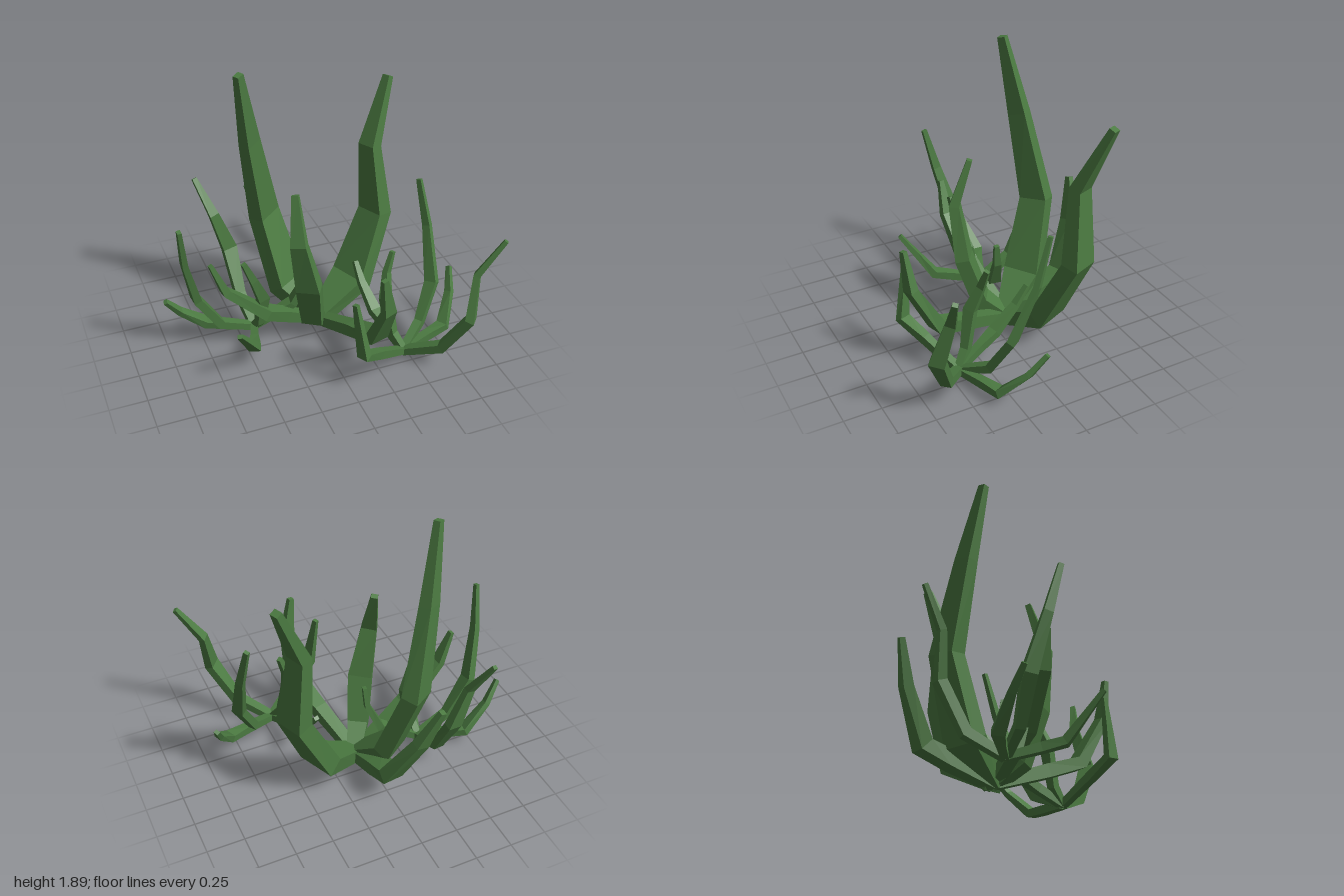
import * as THREE from 'three';

const material = new THREE.MeshStandardMaterial({ color: 0x4b7a41, flatShading: true });

// Blade width and thickness from root to tip, before scaling; only large blades swell low down
const widths = (size) => [0.12, Math.max(0.14, 0.27 * size * size), 0.2, 0.13, 0.055];
const THICK = [0.1, 0.13, 0.12, 0.085, 0.045];

const vec = (p) => new THREE.Vector3(...p);

// Centre line: shallow blades run straight to the knee, steep ones sag first;
// then the blade rises to the tip, bowed outward or inward
function centreLine(root, knee, tip, bow) {
  const out = knee.clone().sub(root).setY(0);
  const steep = knee.y - root.y > 0.6 * out.length();
  out.normalize();
  const low = root.clone().lerp(knee, 0.6);
  if (steep) low.y = THREE.MathUtils.lerp(root.y, knee.y, 0.28);
  const bend = knee.clone().lerp(tip, 0.54).addScaledVector(out, bow);
  return { out, line: [root, low, knee, bend, tip] };
}

// Tapered four-sided blade swept along its centre line
function makeBlade(root, [size, bow, knee, tip]) {
  const { out, line } = centreLine(vec(root), vec(knee), vec(tip), bow);
  const side = new THREE.Vector3(-out.z, 0, out.x);
  const last = line.length - 1;
  const width = widths(size);
  const rings = line.map((p, i) => {
    const before = p.clone().sub(line[Math.max(i - 1, 0)]).normalize();
    const after = line[Math.min(i + 1, last)].clone().sub(p).normalize();
    const tangent = before.add(after).normalize();
    const s = side.clone().addScaledVector(tangent, -side.dot(tangent)).normalize();
    const n = tangent.clone().cross(s);
    const scale = i === last ? Math.max(size, 0.6) : size;
    const w = (width[i] * scale) / 2;
    const d = (THICK[i] * Math.max(scale, 0.45)) / 2;
    return [[-1, -1], [1, -1], [1, 1], [-1, 1]].map(([a, b]) =>
      p.clone().addScaledVector(s, a * w).addScaledVector(n, b * d));
  });
  const corners = [];
  const quad = (a, b, c, d) =>
    [a, b, c, a, c, d].forEach((v) => corners.push(v.x, Math.max(v.y, 0), v.z));
  for (let i = 0; i < last; i++) {
    for (let j = 0; j < 4; j++) {
      const k = (j + 1) % 4;
      quad(rings[i][j], rings[i][k], rings[i + 1][k], rings[i + 1][j]);
    }
  }
  quad(...[...rings[0]].reverse());
  quad(...rings[last]);
  const geometry = new THREE.BufferGeometry();
  geometry.setAttribute('position', new THREE.Float32BufferAttribute(corners, 3));
  geometry.computeVertexNormals();
  return new THREE.Mesh(geometry, material);
}

// Blades fanning out of one root; each is [size, bow, knee, tip]
function makeClump(name, root, blades) {
  const clump = new THREE.Group();
  clump.name = name;
  blades.forEach((blade, i) => {
    const mesh = makeBlade(root, blade);
    mesh.name = `blade${i + 1}`;
    clump.add(mesh);
  });
  return clump;
}

export function createModel() {
  const plant = new THREE.Group();
  plant.name = 'plant';
  // Large central blades
  plant.add(makeClump('mainClump', [0.055, 0.04, -0.11], [
    [0.97, 0.01, [-0.2, 0.75, -0.48], [-0.39, 1.88, -0.31]],
    [1, -0.12, [0.57, 0.69, -0.335], [0.69, 1.64, -0.46]],
    [0.8, 0.08, [-0.1, 0.5, 0.13], [-0.16, 1.18, 0.05]],
    [0.68, 0.07, [0.235, 0.28, 0.49], [0.18, 0.86, 0.68]],
    [0.78, 0.03, [0.01, 0.23, -0.57], [-0.23, 0.82, -0.765]],
    [0.62, 0.08, [-0.36, 0.26, -0.03], [-0.72, 0.75, 0]],
  ]));
  // Small blades at the front left
  plant.add(makeClump('frontClump', [0.45, 0.06, 0.45], [
    [0.42, 0.03, [0.75, 0.4, 0.23], [0.74, 1.07, -0.02]],
    [0.4, 0.03, [0.8, 0.09, 0.34], [0.95, 0.39, 0.1]],
    [0.5, -0.08, [0.77, 0.44, 0.74], [0.98, 0.98, 0.72]],
    [0.4, 0.02, [0.365, 0.43, 0.32], [0.44, 0.73, 0.24]],
    [0.38, 0.03, [0.37, 0.2, 0.15], [0.33, 0.45, -0.11]],
    [0.42, 0, [0.07, 0.29, 0.66], [0.025, 0.67, 0.61]],
  ]));
  // Small blades at the right side
  plant.add(makeClump('sideClump', [-0.4, 0.06, -0.16], [
    [0.4, 0.03, [-0.71, 0.09, -0.28], [-0.99, 0.39, -0.21]],
    [0.45, 0.02, [-0.8, 0.42, -0.13], [-0.91, 1.07, 0.03]],
    [0.5, -0.06, [-0.44, 0.47, -0.56], [-0.62, 0.99, -0.7]],
    [0.4, 0, [-0.5, 0.15, 0.17], [-0.65, 0.43, 0.36]],
    [0.4, 0.01, [-0.37, 0.38, -0.03], [-0.51, 0.73, 0.03]],
    [0.4, 0.03, [-0.13, 0.22, -0.12], [-0.03, 0.56, -0.08]],
  ]));
  return plant;
}
